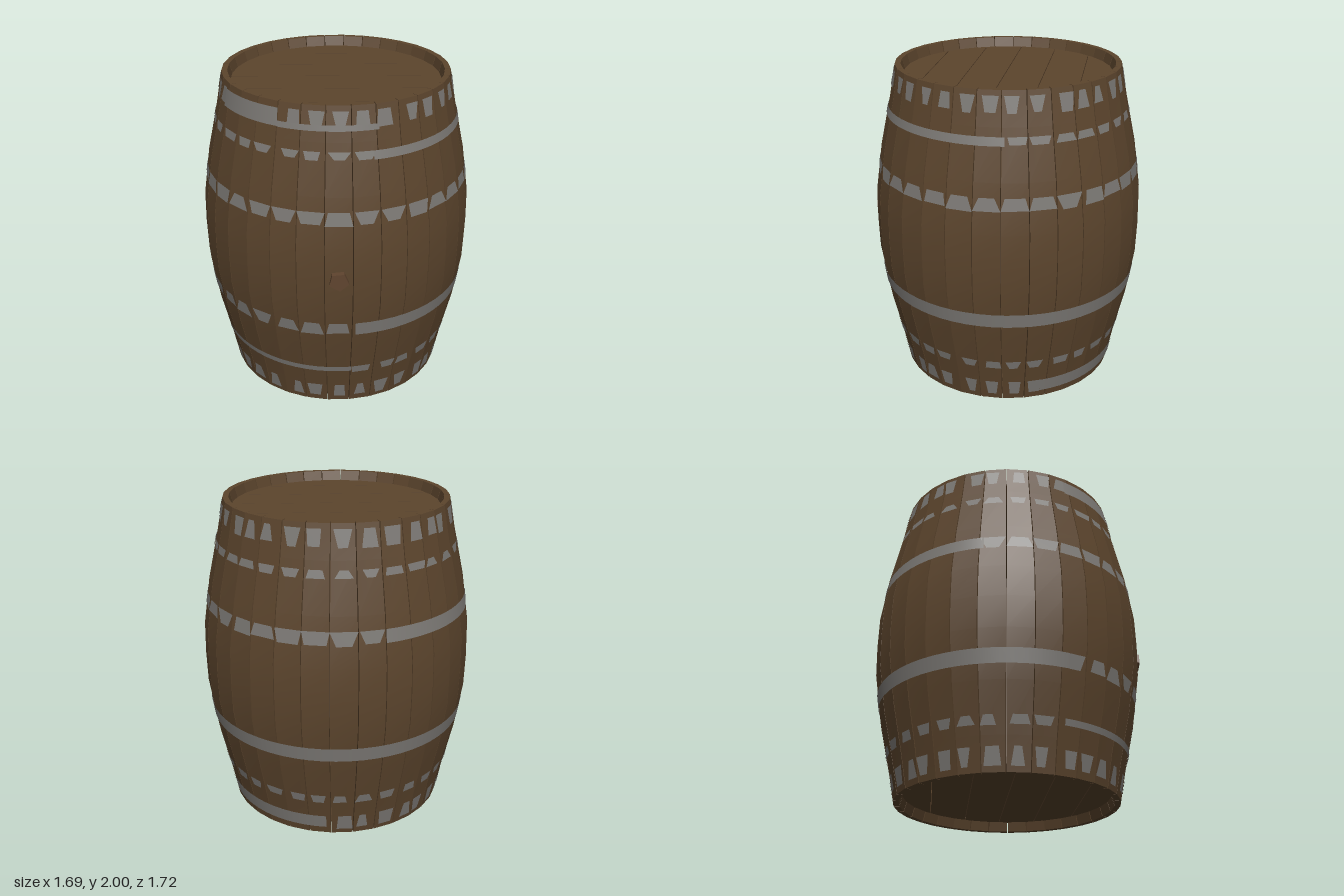
import * as THREE from 'three';
import { toCreasedNormals, mergeGeometries } from 'three/addons/utils/BufferGeometryUtils.js';

const STAVES = 32, STEP = Math.PI * 2 / STAVES, GAP = 0.005;
// outer profile of the barrel: [y, radius]
const PROFILE = [[0, 0.69], [0.2, 0.728], [0.5, 0.795], [0.8, 0.84], [1, 0.845],
  [1.2, 0.84], [1.5, 0.795], [1.8, 0.728], [2, 0.69]];

function radiusAt(y) {
  const i = Math.max(1, PROFILE.findIndex(p => p[0] >= y));
  const [y0, r0] = PROFILE[i - 1], [y1, r1] = PROFILE[i];
  return r0 + (r1 - r0) * (y - y0) / (y1 - y0);
}

function makeRandom(seed) {
  return () => (seed = (seed * 16807) % 2147483647) / 2147483647;
}

// a stave is the wall section, spread sideways in proportion to its radius
function staveGeometry() {
  const shape = new THREE.Shape();
  PROFILE.forEach(([y, r], i) => i ? shape.lineTo(r, y) : shape.moveTo(r, y));
  shape.lineTo(0.655, 2);
  shape.lineTo(0.635, 1.93);
  for (const y of [1.8, 1.5, 1.2, 0.8, 0.5, 0.2]) shape.lineTo(radiusAt(y) - 0.06, y);
  shape.lineTo(0.635, 0.07);
  shape.lineTo(0.655, 0);
  const geo = new THREE.ExtrudeGeometry(shape, { depth: 1, bevelEnabled: false });
  const p = geo.attributes.position;
  for (let i = 0; i < p.count; i++) {
    const half = p.getX(i) * Math.tan(STEP / 2) - GAP / 2;
    p.setZ(i, (p.getZ(i) - 0.5) * 2 * half);
  }
  return toCreasedNormals(geo, 0.3);
}

// irregular four-sided piece of a hoop lying on one stave
function patchGeometry(angle, y0, y1, low, high, shift, lift) {
  const r0 = radiusAt(y0) + lift, r1 = radiusAt(y1) + lift;
  const geo = new THREE.BufferGeometry();
  geo.setAttribute('position', new THREE.Float32BufferAttribute([
    r0, y0, shift - low, r1, y1, shift - high,
    r1, y1, shift + high, r0, y0, shift + low], 3));
  geo.setIndex([0, 1, 2, 0, 2, 3]);
  geo.computeVertexNormals();
  return geo.rotateY(angle - Math.PI / 2);
}

export function createModel() {
  const model = new THREE.Group();
  const body = new THREE.Group();
  body.position.z = -0.013;
  model.add(body);
  const wood = new THREE.MeshStandardMaterial({ color: 0x5c452d });
  wood.name = 'oak brown';
  const iron = new THREE.MeshStandardMaterial({ color: 0x7d7a76, side: THREE.DoubleSide });
  iron.name = 'iron grey';
  const bungWood = new THREE.MeshStandardMaterial({ color: 0x60452f });
  bungWood.name = 'bung brown';
  const add = (name, geo, mat) => {
    const mesh = new THREE.Mesh(geo, mat);
    mesh.name = name;
    body.add(mesh);
    return mesh;
  };
  const random = makeRandom(4211);

  // staves
  const stave = staveGeometry();
  for (let i = 0; i < STAVES; i++) add('stave', stave, wood).rotation.y = i * STEP - Math.PI / 2;

  // heads: planks cut from a disc, with narrow gaps
  const R = 0.655, PITCH = 0.233;
  for (const y of [0.06, 1.9]) {
    for (let k = 0; k < 6; k++) {
      const z0 = Math.max(-R, -0.695 + k * PITCH + 0.002);
      const z1 = Math.min(R, -0.695 + (k + 1) * PITCH - 0.002);
      const pts = [];
      for (let s = 0; s <= 8; s++) {
        const z = z0 + (z1 - z0) * s / 8;
        pts.push(new THREE.Vector2(Math.sqrt(Math.max(0, R * R - z * z)), -z));
      }
      const left = pts.map(p => new THREE.Vector2(-p.x, p.y)).reverse();
      const geo = new THREE.ExtrudeGeometry(new THREE.Shape([...pts, ...left]),
        { depth: 0.04, bevelEnabled: false });
      add('headPlank', geo.rotateX(-Math.PI / 2).translate(0, y, 0), wood);
    }
  }

  // hoops: a full band over part of the turn (degrees from the front), worn patches elsewhere
  const hoops = [
    { y: [0.03, 0.14], band: [115, 172], bandY: [0.05, 0.14], width: 0.62 },
    { y: [0.25, 0.31], band: [-70, 6], bandY: [0.272, 0.31], width: 0.7 },
    { y: [0.59, 0.68], band: [7, 290], bandY: [0.59, 0.68], width: 0.8 },
    { y: [1.33, 1.415], band: [197, 255], bandY: [1.335, 1.415], width: 0.98 },
    { y: [1.7, 1.75], band: [15, 97], bandY: [1.7, 1.75], width: 0.75 },
    { y: [1.865, 1.97], band: [-65, -28], bandY: [1.865, 1.965], width: 0.62 },
    { y: [1.865, 1.97], band: [-28, 18], bandY: [1.862, 1.895], width: 0 },
  ];
  for (const { y, band, bandY, width } of hoops) {
    const [a0, a1] = band.map(THREE.MathUtils.degToRad);
    const section = bandY.map(h => new THREE.Vector2(radiusAt(h) + 0.007, h));
    add('hoopBand', new THREE.LatheGeometry(section, Math.ceil((a1 - a0) / 0.1), a0, a1 - a0), iron);
    if (!width) continue;
    const patches = [];
    for (let i = 0; i < STAVES; i++) {
      const angle = i * STEP;
      const turn = ((angle - a0) % (Math.PI * 2) + Math.PI * 2) % (Math.PI * 2);
      const full = radiusAt(y[0]) * Math.tan(STEP / 2);
      const wide = full * Math.min(1, width * (0.85 + random() * 0.35));
      const slim = wide * (0.45 + random() * 0.4);
      const topWide = random() < 0.6;
      const shift = (random() - 0.5) * 2 * (full - wide);
      const dip = random() * 0.15 * (y[1] - y[0]);
      if (turn < a1 - a0) continue;
      patches.push(patchGeometry(angle, y[0] + dip, y[1], topWide ? slim : wide,
        topWide ? wide : slim, shift, 0.004));
    }
    add('hoopPatches', mergeGeometries(patches), iron);
  }

  // five-sided bung on the front
  const bung = new THREE.CylinderGeometry(0.06, 0.06, 0.07, 5).toNonIndexed();
  bung.computeVertexNormals();
  add('bung', bung.rotateX(Math.PI / 2).rotateZ(0.1).translate(0, 1, 0.842), bungWood);

  return model;
}
